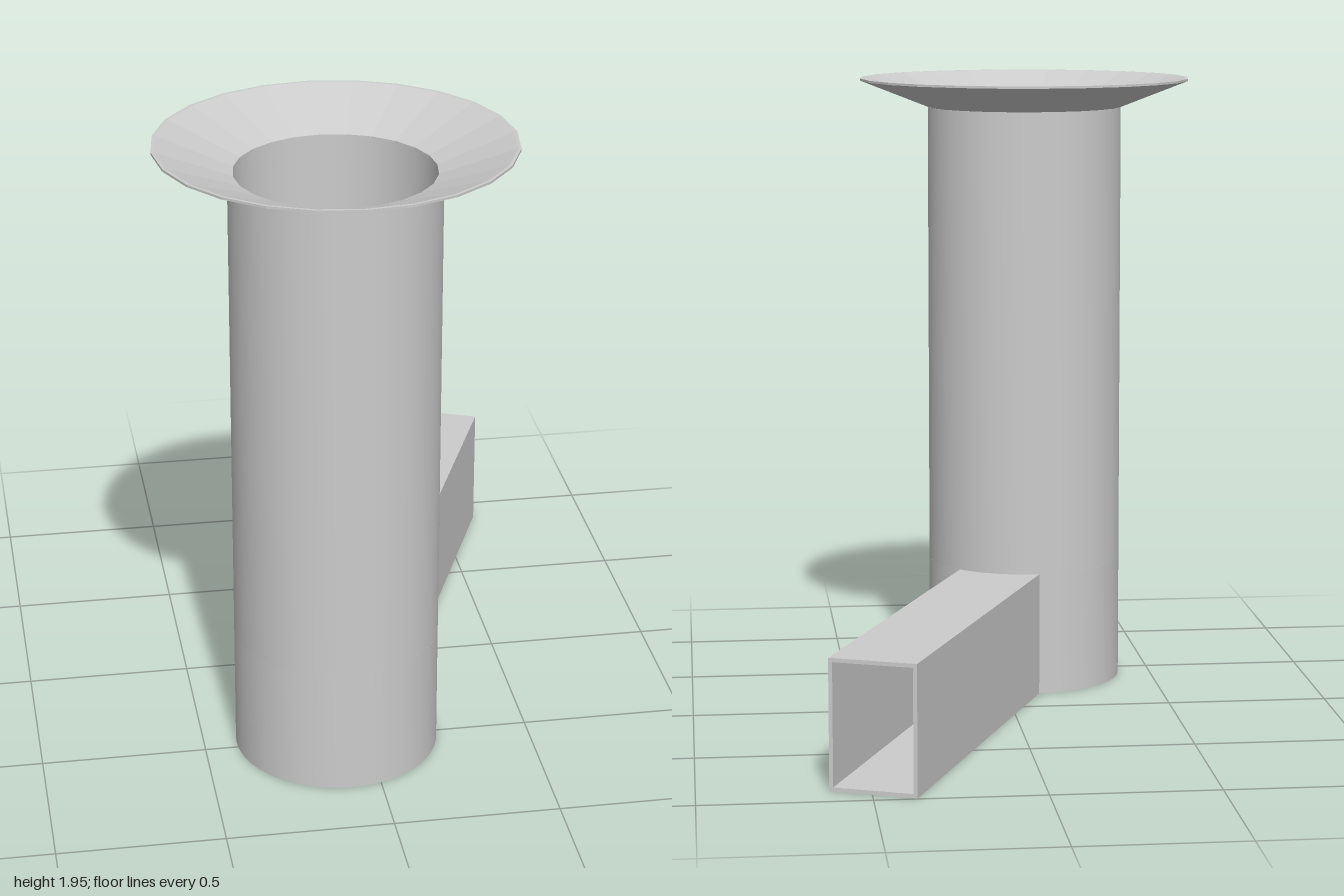
import * as THREE from 'three';
import { toCreasedNormals } from 'three/addons/utils/BufferGeometryUtils.js';

const R_OUT = 0.31, R_IN = 0.295;              // tube radii
const TUBE_TOP = 1.86, DUCT_H = 0.39;
const DUCT_END = 1.535, HALF_W = 0.1325, WALL = 0.012;
const DUCT_ANGLE = THREE.MathUtils.degToRad(67.5);

export function createModel() {
  const model = new THREE.Group();
  model.name = 'hopperWithDuct';
  const smooth = new THREE.MeshStandardMaterial({ color: 0xcccccc, side: THREE.DoubleSide });
  const faceted = new THREE.MeshStandardMaterial({ color: 0xcccccc, flatShading: true, side: THREE.DoubleSide });

  const add = (parent, name, geometry, material = smooth) => {
    const mesh = new THREE.Mesh(geometry, material);
    mesh.name = name;
    parent.add(mesh);
    return mesh;
  };

  // Everything sits around the tube axis
  const body = new THREE.Group();
  body.name = 'body';
  body.position.set(-0.09, 0, 0.473);
  model.add(body);

  const lathe = (points, segments, start, length) => new THREE.LatheGeometry(
    points.map(([r, y]) => new THREE.Vector2(r, y)), segments, start, length);
  const tubeWall = (y0, y1, start = 0, length = Math.PI * 2) => toCreasedNormals(
    lathe([[R_OUT, y0], [R_OUT, y1], [R_IN, y1], [R_IN, y0], [R_OUT, y0]], 72, start, length), 0.6);

  // Tube: full ring above the duct, ring with a gap beside it, closed floor
  const gap = Math.asin(HALF_W / R_OUT);
  add(body, 'tubeUpper', tubeWall(DUCT_H, TUBE_TOP));
  add(body, 'tubeLower', tubeWall(0, DUCT_H, DUCT_ANGLE + Math.PI / 2 + gap, 2 * (Math.PI - gap)));
  add(body, 'tubeFloor', new THREE.CylinderGeometry(0.302, 0.302, WALL, 72)).position.y = WALL / 2;

  // Flared funnel rim
  add(body, 'funnel', lathe([
    [R_IN, TUBE_TOP], [R_OUT, TUBE_TOP], [0.527, 1.945], [0.527, 1.952],
    [0.518, 1.952], [R_IN, 1.866], [R_IN, TUBE_TOP],
  ], 24), faceted);

  // Rectangular duct, open at the far end, running radially out of the tube
  const duct = new THREE.Group();
  duct.name = 'duct';
  duct.rotation.y = DUCT_ANGLE;
  body.add(duct);

  // Floor and roof plates end in an arc that fits the tube
  const arcR = 0.3, a = Math.asin(HALF_W / arcR);
  const outline = new THREE.Shape();
  outline.moveTo(DUCT_END, -HALF_W);
  outline.lineTo(DUCT_END, HALF_W);
  outline.lineTo(arcR * Math.cos(a), HALF_W);
  outline.absarc(0, 0, arcR, a, -a, true);
  outline.closePath();
  const plate = new THREE.ExtrudeGeometry(outline, { depth: WALL, bevelEnabled: false, curveSegments: 16 });
  plate.rotateX(-Math.PI / 2);
  add(duct, 'ductFloor', plate);
  add(duct, 'ductRoof', plate).position.y = DUCT_H - WALL;

  // Side walls
  const start = 0.268;
  for (const side of [-1, 1]) {
    const wall = add(duct, side > 0 ? 'ductWallRight' : 'ductWallLeft',
      new THREE.BoxGeometry(DUCT_END - start, DUCT_H - 2 * WALL, WALL));
    wall.position.set((DUCT_END + start) / 2, DUCT_H / 2, side * (HALF_W - WALL / 2));
  }

  return model;
}
